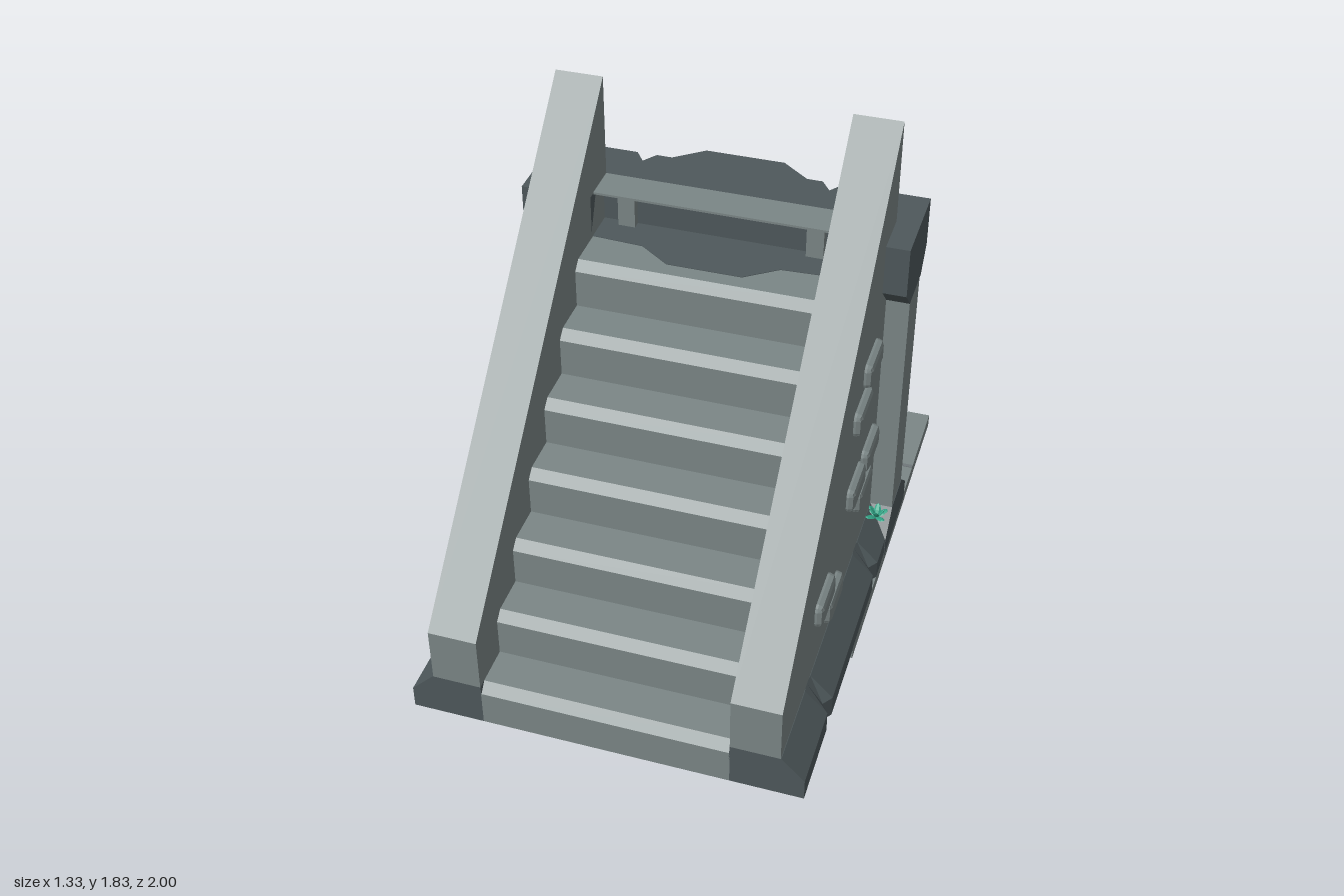
import * as THREE from 'three';
import { RoundedBoxGeometry } from 'three/addons/geometries/RoundedBoxGeometry.js';

const paint = (name, color) => Object.assign(new THREE.MeshStandardMaterial({ color }), { name });

// Flat facets on any geometry
function flat(g) {
  const f = g.index ? g.toNonIndexed() : g;
  f.computeVertexNormals();
  return f;
}

// Solid through outlines [x, z] stacked at heights: rings = [[y, points], ...]
function loft(rings) {
  const flip = THREE.ShapeUtils.isClockWise(rings[0][1].map(([x, z]) => new THREE.Vector2(x, -z)));
  const R = rings.map(([y, p]) => (flip ? [...p].reverse() : p).map(([x, z]) => [x, y, z]));
  const n = R[0].length, out = [];
  for (let i = 0; i + 1 < R.length; i++)
    for (let j = 0; j < n; j++) {
      const k = (j + 1) % n;
      out.push(R[i][j], R[i][k], R[i + 1][k], R[i][j], R[i + 1][k], R[i + 1][j]);
    }
  const cap = (r, up) => {
    const tris = THREE.ShapeUtils.triangulateShape(r.map(([x, , z]) => new THREE.Vector2(x, -z)), []);
    for (const [a, b, c] of tris) out.push(...(up ? [r[a], r[b], r[c]] : [r[a], r[c], r[b]]));
  };
  cap(R[0], false);
  cap(R[R.length - 1], true);
  const g = new THREE.BufferGeometry();
  g.setAttribute('position', new THREE.Float32BufferAttribute(out.flat(), 3));
  g.computeVertexNormals();
  return g;
}

// Side profile [z, y] extruded between x0 and x1
function sideways(profile, x0, x1) {
  const s = new THREE.Shape(profile.map(([z, y]) => new THREE.Vector2(z, y)));
  const g = new THREE.ExtrudeGeometry(s, { depth: x1 - x0, bevelEnabled: false });
  return g.rotateY(-Math.PI / 2).translate(x1, 0, 0);
}

export function createModel() {
  const stone = paint('stone', 0x7b8686), darkStone = paint('dark stone', 0x4e585b);
  const iron = paint('iron', 0x70777a), wood = paint('red wood', 0x94503d);
  const oak = paint('brown wood', 0x66564b), leaf = paint('leaf green', 0x33a688);
  const model = new THREE.Group();
  const add = (name, g, m, parent = model) => {
    const mesh = new THREE.Mesh(g, m);
    mesh.name = name;
    parent.add(mesh);
    return mesh;
  };
  const box = (name, m, [x0, x1], [y0, y1], [z0, z1], parent) => add(name,
    new THREE.BoxGeometry(x1 - x0, y1 - y0, z1 - z0).translate((x0 + x1) / 2, (y0 + y1) / 2, (z0 + z1) / 2), m, parent);
  const soft = (name, m, [w, h, d], [x, y, z], parent, r = 0.015) =>
    add(name, flat(new RoundedBoxGeometry(w, h, d, 1, r)).translate(x, y, z), m, parent);
  const group = (name, x = 0, y = 0, z = 0, ry = 0) => {
    const g = new THREE.Group();
    g.name = name;
    g.position.set(x, y, z);
    g.rotation.y = ry;
    model.add(g);
    return g;
  };

  // Seven steps with chamfered edges and a hollow under the first ones
  const steps = [[-0.26, 0.14], [0.3, 0.14], [0.3, 0.24], [0.92, 0.24], [0.92, 0.14], [1, 0.14]];
  for (let i = 0; i < 7; i++) {
    const z = 1 - i * 0.167, y = 0.3 + i * 0.167;
    steps.push([z, y - 0.03], [z - 0.033, y], [i < 6 ? z - 0.167 : -0.26, y]);
  }
  add('stairs', sideways(steps, -0.42, 0.42), stone);

  // Sloping side walls, their footings and bricks
  const bricks = [[-0.04, 1.09], [0.085, 0.985], [0.12, 0.69], [-0.09, 0.69], [-0.005, 0.58], [0.52, 0.54], [0.39, 0.43]];
  for (const s of [1, -1]) {
    const wall = [[1, 0.3], [1, 0.5], [-0.33, 1.83], [-0.33, 0.3]];
    add('sideWall', sideways(wall, s > 0 ? 0.42 : -0.585, s > 0 ? 0.585 : -0.42), stone);
    const edge = (x, cut) => [[s * x, 1], ...[0.67, 0].flatMap(z =>
      [[s * x, z + 0.035], [s * (x - cut), z], [s * x, z - 0.035]]), [s * x, -0.4]];
    const foot = (inner, outer, cut) => [[s * inner, -0.4], [s * inner, 1], ...edge(outer, cut)];
    add('sideFooting', loft([[0.14, foot(0.41, 0.665, 0.025)], [0.22, foot(0.415, 0.665, 0.025)],
      [0.3, foot(0.42, 0.587, 0.005)]]), darkStone);
    const plinth = (z0, z1) => [[s * 0.5, z0], [s * 0.667, z0], [s * 0.667, z1], [s * 0.5, z1]];
    add('pillarFooting', loft([[0.14, plinth(-0.16, -0.5)], [0.22, plinth(-0.16, -0.5)],
      [0.3, plinth(-0.25, -0.412)]]), darkStone);
    for (const [z, y] of bricks) soft('sideBrick', stone, [0.06, 0.09, 0.185], [s * 0.583, y, z], model, 0.02);
  }

  // Back wall with central pilaster, footing and bricks
  box('backWall', stone, [-0.665, 0.665], [0.14, 1.2], [-0.41, -0.25]);
  box('pilaster', stone, [-0.15, 0.15], [0.14, 1.25], [-0.51, -0.4]);
  const backFoot = z => [[-0.6, -0.4], [0.6, -0.4], [0.6, z], [-0.6, z]];
  add('backFooting', loft([[0.14, backFoot(-0.5)], [0.22, backFoot(-0.5)], [0.3, backFoot(-0.412)]]), darkStone);
  for (const [x, y] of [[0.5, 1.04], [0.4, 0.94], [0.27, 0.9], [0.52, 0.63], [0.56, 0.5], [-0.53, 1.07], [-0.55, 0.95], [-0.57, 0.62]])
    soft('backBrick', stone, [0.17, 0.085, 0.06], [x, y, -0.412], model, 0.02);

  // Crown of the wall: arms around the stairs, a bulge and two cracks behind
  const crown = (front, back) => [
    [-0.665, front], [-0.42, front], [-0.42, -0.3], [0.42, -0.3], [0.42, front], [0.665, front], [0.665, back],
    [0.365, back], [0.33, back + 0.05], [0.295, back], [0.24, back], [0.14, back - 0.08], [-0.14, back - 0.08],
    [-0.24, back], [-0.295, back], [-0.33, back + 0.05], [-0.365, back], [-0.665, back]];
  add('crown', loft([[1.2, crown(-0.25, -0.43)], [1.28, crown(-0.17, -0.5)], [1.46, crown(-0.17, -0.5)]]), darkStone);
  box('topBeam', stone, [-0.42, 0.42], [1.456, 1.464], [-0.33, -0.2]);
  const sill = [[-0.42, -0.3], [-0.42, -0.18], [-0.24, -0.17], [-0.13, -0.09], [0.13, -0.09], [0.24, -0.17], [0.42, -0.18], [0.42, -0.3]];
  add('landingSill', loft([[1.295, sill], [1.304, sill]]), darkStone);
  for (const x of [-0.33, 0.33]) {
    const post = w => [[x - w, -0.3], [x + w, -0.3], [x + w, -0.27], [x - w, -0.27]];
    add('recessPost', loft([[1.3, post(0.03)], [1.42, post(0.03)], [1.445, post(0.005)]]), stone);
  }

  // Paved slab with joints
  box('pavement', stone, [-0.665, 0.665], [0.1, 0.15], [-1, 0.33]);
  const joints = [[0.665, -0.67, 0.54, -0.67], [0.54, -0.67, 0.33, -0.87], [0.33, -0.87, 0.33, -1], [0.54, -0.67, 0.4, -0.52]];
  for (const s of [1, -1])
    for (const [x0, z0, x1, z1] of joints) {
      const g = new THREE.BoxGeometry(Math.hypot(x1 - x0, z1 - z0), 0.004, 0.014);
      g.rotateY(-Math.atan2(z1 - z0, s * (x1 - x0))).translate(s * (x0 + x1) / 2, 0.151, (z0 + z1) / 2);
      add('pavingJoint', g, iron);
    }

  // Underside of the slab: dark panel, square iron frame, wooden pieces and peg
  const under = group('slabUnderside', 0, 0.1, -0.33);
  box('underPanel', darkStone, [-0.63, 0.63], [-0.002, 0.002], [-0.63, 0.63], under);
  for (const s of [1, -1]) {
    box('underFrame', iron, [-0.34, 0.34], [-0.008, 0], [s * 0.315 - 0.025, s * 0.315 + 0.025], under);
    box('underFrame', iron, [s * 0.315 - 0.025, s * 0.315 + 0.025], [-0.008, 0], [-0.29, 0.29], under);
  }
  for (const x of [-0.19, -0.06, 0.07])
    box('underBoard', wood, [x - 0.055, x + 0.055], [-0.005, 0], [-0.16, 0.2], under);
  const ring = new THREE.CylinderGeometry(0.2, 0.2, 0.005, 16, 1, true);
  add('underRing', ring.translate(0.3, -0.003, -0.05), wood, under);
  add('underRingFace', new THREE.RingGeometry(0.17, 0.2, 16).rotateX(Math.PI / 2).translate(0.3, -0.0055, -0.05), wood, under);
  add('underChest', new THREE.BoxGeometry(0.28, 0.005, 0.2).rotateY(-0.6).translate(0.04, -0.0025, -0.47), oak, under);
  add('underLeaf', new THREE.CylinderGeometry(0.07, 0.07, 0.006, 8).translate(0.3, -0.003, 0.4), leaf, under);
  const peg = [[0, 0], [0.012, 0.004], [0.022, 0.05], [0.02, 0.11]].map(p => new THREE.Vector2(...p));
  add('peg', flat(new THREE.LatheGeometry(peg, 8)).translate(0, 0, -0.33), oak);

  // Wide barrel against the wall: separate staves on an oval, with iron hoops
  const barrel = group('barrel', 0.06, 0.15, -0.4), n = 16, h = 0.65;
  const oval = (a, k) => [Math.cos(a) * 0.44 * k, Math.sin(a) * 0.21 * k];
  for (let i = 0; i < n; i++) {
    const a = i / n * Math.PI * 2, top = h - 0.025 * ((i * 5) % 3);
    const slat = k => [[-0.185, 1], [0.185, 1], [0.185, 0.85], [-0.185, 0.85]].map(([d, q]) => oval(a + d, k * q));
    add('stave', loft([[0, slat(0.84)], [h * 0.25, slat(0.96)], [h * 0.5, slat(1)], [h * 0.75, slat(0.96)], [top, slat(0.84)]]), wood, barrel);
  }
  const ovalRing = k => Array.from({ length: n }, (_, i) => oval((i + 0.5) / n * Math.PI * 2, k));
  add('barrelLid', loft([[h - 0.1, ovalRing(0.8)], [h - 0.08, ovalRing(0.8)]]), wood, barrel);
  for (const y of [0.12, 0.43])
    add('hoop', loft([[y, ovalRing(1.03)], [y + 0.06, ovalRing(1.03)]]), iron, barrel);

  // Crates: wooden box between deep rails, with posts on the outer face
  function crate(x, y, z, w, h, d, ry, t) {
    const c = group('crate', x, y, z, ry);
    box('crateBody', wood, [-w / 2 + 0.02, w / 2 - 0.02], [-h / 2 + 0.02, h / 2 - 0.02], [-d / 2 + 0.04, d / 2], c);
    for (const s of [1, -1]) {
      soft('frameRail', iron, [w, t, d], [0, s * (h - t) / 2, -0.012], c, 0.02);
      soft('framePost', iron, [t, h, 0.085], [s * (w - t) / 2, 0, -d / 2 + 0.03], c, 0.02);
    }
  }
  crate(-0.43, 0.39, -0.54, 0.27, 0.48, 0.23, -0.08, 0.065);
  crate(-0.29, 0.88, -0.545, 0.43, 0.5, 0.16, 0.22, 0.075);

  // Small keg lying on the upper crate
  const keg = group('keg', -0.28, 1.165, -0.5, 0.22);
  const across = (r, len, x) => flat(new THREE.CylinderGeometry(r, r, len, 8)).rotateZ(Math.PI / 2).translate(x, 0, 0);
  add('kegBody', across(0.05, 0.24, 0), wood, keg);
  for (const x of [-0.06, 0.06]) add('kegHoop', across(0.057, 0.03, x), iron, keg);

  // Chest with faceted lid and iron strap
  const chest = group('chest', 0.05, 0.15, -0.745, -0.6);
  const lid = k => [[-0.11 * k, 0], [0.11 * k, 0], [0.11 * k, 0.11], [0.125 * k, 0.115], [0.125 * k, 0.145],
    [0.07 * k, 0.19 * k], [-0.07 * k, 0.19 * k], [-0.125 * k, 0.145], [-0.125 * k, 0.115], [-0.11 * k, 0.11]];
  add('chestBody', sideways(lid(1), -0.15, 0.15), oak, chest);
  add('chestStrap', sideways(lid(1.1), -0.005, 0.055), iron, chest);

  // Leafy tufts of broad flat leaves
  function tuft(x, y, z, size) {
    const t = group('plant', x, y, z);
    for (let i = 0; i < 8; i++) {
      const g = new THREE.SphereGeometry(size / 2, 6, 4).scale(0.5, 1, 0.18).translate(0, size / 2, 0);
      add('leaf', flat(g.rotateX(i % 2 ? 1.25 : 0.6).rotateY(i * Math.PI / 4)), leaf, t);
    }
  }
  tuft(0.53, 0.26, -0.5, 0.1);
  tuft(-0.58, 0.26, -0.51, 0.1);
  tuft(0.62, 0.285, -0.2, 0.05);

  return model;
}
